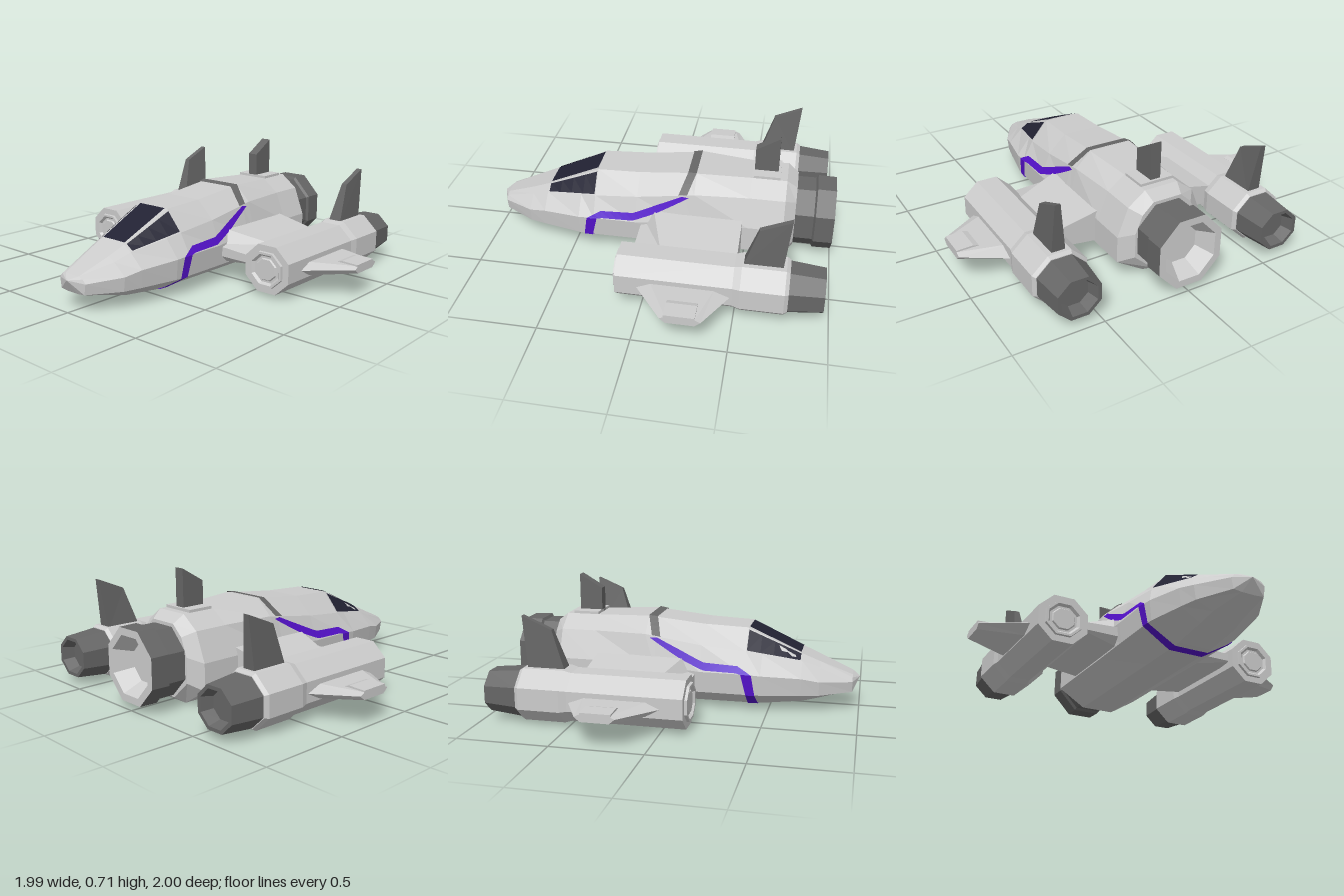
import * as THREE from 'three';

const mat = (color) => new THREE.MeshStandardMaterial({ color, flatShading: true, side: THREE.DoubleSide });
const GREY = mat(0xcccccc), DARK = mat(0x666666), GLASS = mat(0x222233), PURPLE = mat(0x5511cc);

function mesh(name, geometry, material, parent) {
  const m = new THREE.Mesh(geometry, material);
  m.name = name;
  parent.add(m);
  return m;
}

function fromTriangles(tris) {
  const g = new THREE.BufferGeometry();
  g.setAttribute('position', new THREE.Float32BufferAttribute(tris.flat(2), 3));
  g.computeVertexNormals();
  return g;
}

// Skin closed rings of points, cap both ends, and turn the faces outward
function loft(rings, tipA, tipB) {
  const tris = [], n = rings[0].length;
  const mid = (r) => [0, 1, 2].map((k) => r.reduce((s, p) => s + p[k], 0) / n);
  for (let i = 0; i + 1 < rings.length; i++) {
    for (let j = 0; j < n; j++) {
      const k = (j + 1) % n, a = rings[i], b = rings[i + 1];
      tris.push([a[j], a[k], b[k]], [a[j], b[k], b[j]]);
    }
  }
  const first = rings[0], last = rings[rings.length - 1];
  const ca = tipA || mid(first), cb = tipB || mid(last);
  for (let j = 0; j < n; j++) {
    const k = (j + 1) % n;
    tris.push([ca, first[k], first[j]], [cb, last[j], last[k]]);
  }
  const v = tris.reduce((s, [a, b, c]) => s + new THREE.Vector3(...a).dot(
    new THREE.Vector3(...b).cross(new THREE.Vector3(...c))), 0);
  return fromTriangles(v < 0 ? tris.map(([a, b, c]) => [a, c, b]) : tris);
}

// Eight-sided turned part along z, from [z, flat radius] pairs in rising z
function octagonal(profile) {
  const pts = profile.map(([z, r]) => new THREE.Vector2(r / Math.cos(Math.PI / 8), z));
  return new THREE.LatheGeometry(pts, 8, Math.PI / 8).rotateX(Math.PI / 2);
}

// Hull half-sections: z, then x,y from top edge, shoulder, waist, chine, keel
const HULL = [
  [0.96, 0.05, 0.197, 0.08, 0.187, 0.1, 0.165, 0.09, 0.105, 0.04, 0.1],
  [0.78, 0.08, 0.27, 0.12, 0.245, 0.2, 0.18, 0.19, 0.1, 0.09, 0.06],
  [0.68, 0.09, 0.312, 0.14, 0.28, 0.225, 0.2, 0.215, 0.1, 0.1, 0.035],
  [0.46, 0.105, 0.412, 0.19, 0.318, 0.272, 0.215, 0.262, 0.1, 0.1, 0.008],
  [0.37, 0.11, 0.453, 0.21, 0.335, 0.275, 0.22, 0.265, 0.1, 0.1, 0.004],
  [0.12, 0.115, 0.463, 0.22, 0.36, 0.275, 0.22, 0.265, 0.1, 0.1, 0.003],
  [-0.15, 0.12, 0.49, 0.222, 0.4, 0.265, 0.24, 0.262, 0.1, 0.1, 0.002],
  [-0.21, 0.13, 0.498, 0.222, 0.41, 0.263, 0.24, 0.262, 0.1, 0.1, 0.002],
  [-0.52, 0.1, 0.485, 0.2, 0.41, 0.262, 0.25, 0.262, 0.1, 0.1, 0],
  [-0.72, 0.1, 0.485, 0.2, 0.41, 0.262, 0.25, 0.262, 0.1, 0.1, 0],
  [-0.78, 0.085, 0.44, 0.15, 0.38, 0.19, 0.28, 0.19, 0.14, 0.08, 0.04],
];

function hullGeometry() {
  const rings = HULL.map(([z, ...c]) => {
    const half = [0, 1, 2, 3, 4].map((i) => [c[2 * i], c[2 * i + 1], z]);
    return [...half, ...half.slice().reverse().map(([x, y]) => [-x, y, z])];
  });
  return loft(rings, [0, 0.175, 1]);
}

// Point just above the hull; s runs from -0.5 (top centre) to 4.5 (bottom centre)
function onHull(z, s, lift = 0.005) {
  let i = 0;
  while (i < HULL.length - 2 && HULL[i + 1][0] > z) i++;
  const A = HULL[i], B = HULL[i + 1], t = (A[0] - z) / (A[0] - B[0]);
  const at = (k, d) => THREE.MathUtils.lerp(A[1 + 2 * k + d], B[1 + 2 * k + d], t);
  let x, y;
  if (s <= 0) [x, y] = [at(0, 0) * (1 + 2 * s), at(0, 1)];
  else if (s >= 4) [x, y] = [at(4, 0) * (1 - 2 * (s - 4)), at(4, 1)];
  else {
    const k = Math.floor(s), f = s - k;
    x = THREE.MathUtils.lerp(at(k, 0), at(k + 1, 0), f);
    y = THREE.MathUtils.lerp(at(k, 1), at(k + 1, 1), f);
  }
  const out = new THREE.Vector2(x, y - 0.22).normalize();
  return [x + out.x * lift, Math.max(0, y + out.y * lift), z];
}

// Strip lying on the hull between two edges, each row [z, s, z, s]
function ribbon(rows) {
  const tris = [], steps = 4, fine = [];
  rows.forEach((r, i) => {
    const next = rows[i + 1];
    for (let k = 0; k < (next ? steps : 1); k++) {
      const q = next ? r.map((v, j) => v + (next[j] - v) * k / steps) : r;
      fine.push([onHull(q[0], q[1]), onHull(q[2], q[3])]);
    }
  });
  for (let i = 0; i + 1 < fine.length; i++) {
    const [a, b] = fine[i], [d, c] = fine[i + 1];
    tris.push([a, b, c], [a, c, d]);
  }
  return fromTriangles(tris);
}

function box(w, h, d, x, y, z) {
  return new THREE.BoxGeometry(w, h, d).translate(x, y, z);
}

// Everything that appears once on each side
function buildSide(name) {
  const side = new THREE.Group();
  side.name = name;

  // Markings and glazing
  mesh('windshieldCentre', ribbon([[0.67, -0.5, 0.67, -0.06], [0.375, -0.5, 0.375, -0.08]]), GLASS, side);
  mesh('windshieldSide', ribbon([[0.67, 0.12, 0.67, 0.92], [0.375, 0.1, 0.375, 0.95]]), GLASS, side);
  mesh('stripe', ribbon([
    [0.43, 4.5, 0.37, 4.5], [0.43, 4, 0.37, 4], [0.43, 3, 0.38, 3], [0.41, 2, 0.35, 2],
    [0.33, 1.65, 0.32, 1.95], [0.14, 1.63, 0.14, 1.93], [0, 1.32, 0, 1.62], [-0.14, 1.04, -0.18, 1.1],
  ]), PURPLE, side);
  mesh('hullBand', ribbon([
    [-0.16, -0.5, -0.21, -0.5], [-0.16, 0, -0.21, 0], [-0.12, 1, -0.17, 1],
  ]), DARK, side);

  // Wings, as z,y sections across x
  const section = (x, pts) => pts.map(([z, y]) => [x, y, z]);
  mesh('wingRoot', loft([
    section(0.2, [[0.09, 0.15], [0.09, 0.21], [0.03, 0.3], [-0.49, 0.3], [-0.49, 0.1], [0.03, 0.1]]),
    section(0.52, [[0.09, 0.15], [0.09, 0.19], [-0.07, 0.232], [-0.49, 0.232], [-0.49, 0.14], [0, 0.14]]),
  ]), GREY, side);
  mesh('winglet', loft([
    section(0.74, [[0.03, 0.15], [-0.05, 0.185], [-0.4, 0.185], [-0.49, 0.15], [-0.4, 0.105], [-0.05, 0.105]]),
    section(0.995, [[-0.15, 0.165], [-0.18, 0.18], [-0.33, 0.18], [-0.36, 0.165], [-0.33, 0.14], [-0.18, 0.14]]),
  ]), GREY, side);
  mesh('wingtipPad', loft([
    section(0.87, [[-0.17, 0.16], [-0.17, 0.183], [-0.33, 0.183], [-0.33, 0.16]]),
    section(0.9, [[-0.17, 0.15], [-0.17, 0.192], [-0.33, 0.192], [-0.33, 0.15]]),
    section(0.995, [[-0.17, 0.15], [-0.17, 0.188], [-0.33, 0.188], [-0.33, 0.15]]),
  ]), GREY, side);

  // Engine pod
  const pod = new THREE.Group();
  pod.name = 'enginePod';
  pod.position.set(0.619, 0.157, 0);
  pod.scale.y = 0.93;
  side.add(pod);
  mesh('podBody', octagonal([
    [-0.78, 0], [-0.78, 0.142], [-0.76, 0.155], [-0.53, 0.155], [-0.49, 0.143], [0.135, 0.143],
    [0.135, 0.105], [0.15, 0.103], [0.15, 0.09], [0.135, 0.078], [0.135, 0.066], [0.143, 0.06], [0.143, 0],
  ]), GREY, pod);
  mesh('podNozzle', octagonal([
    [-0.9, 0], [-0.9, 0.08], [-0.965, 0.1], [-0.965, 0.12], [-0.78, 0.138],
  ]), DARK, pod);

  // Pod fin, leaning back and tapering upward
  mesh('podFin', loft([
    [[0.575, 0.28, -0.53], [0.655, 0.28, -0.53], [0.655, 0.28, -0.74], [0.575, 0.28, -0.74]],
    [[0.613, 0.51, -0.605], [0.645, 0.51, -0.605], [0.645, 0.58, -0.77], [0.613, 0.58, -0.77]],
  ]), DARK, side);
  return side;
}

export function createModel() {
  const ship = new THREE.Group();
  ship.name = 'spaceship';

  mesh('hull', hullGeometry(), GREY, ship);
  mesh('finBase', box(0.2, 0.03, 0.15, 0, 0.485, -0.605), GREY, ship);
  mesh('tailFin', loft([
    [[-0.03, 0.48, -0.53], [0.03, 0.48, -0.53], [0.03, 0.48, -0.665], [-0.03, 0.48, -0.665]],
    [[-0.03, 0.63, -0.53], [0.03, 0.63, -0.53], [0.03, 0.71, -0.665], [-0.03, 0.71, -0.665]],
  ]), DARK, ship);

  // Main engine
  const engine = new THREE.Group();
  engine.name = 'mainEngine';
  engine.position.y = 0.237;
  engine.scale.y = 1.05;
  ship.add(engine);
  mesh('engineShell', octagonal([[-1, 0.188], [-0.895, 0.19], [-0.885, 0.176], [-0.76, 0.176]]), DARK, engine);
  mesh('engineLiner', octagonal([[-0.9, 0], [-0.9, 0.1], [-1, 0.15], [-1, 0.188]]), GREY, engine);

  const left = buildSide('leftSide'), right = buildSide('rightSide');
  right.scale.x = -1;
  ship.add(left, right);
  return ship;
}
